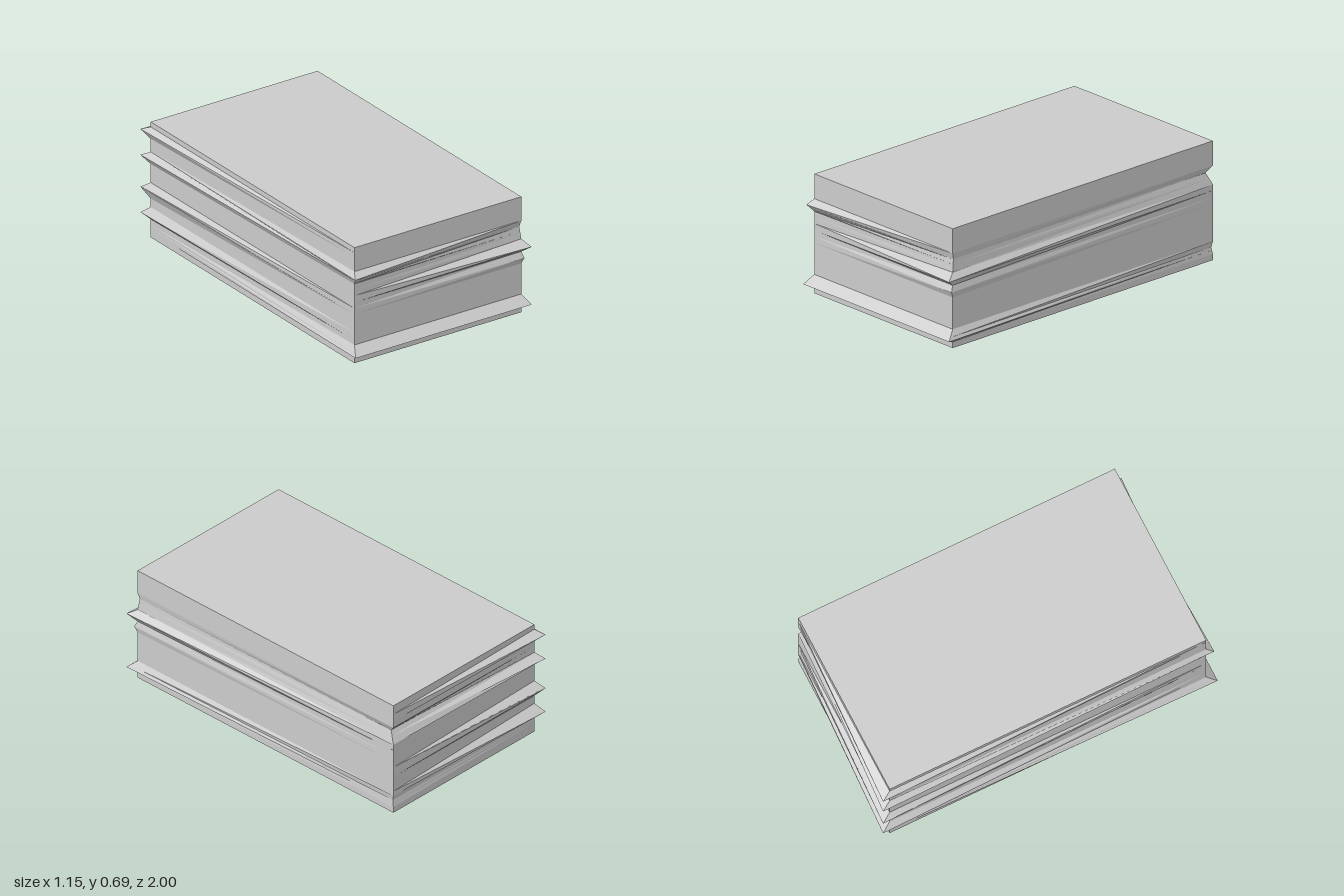
import * as THREE from 'three';

const HEIGHT = 0.685, HALF_X = 0.545, HALF_Z = 0.946;
const RIDGE_X = 0.03, RIDGE_Z = 0.054;

// Edge profile of each corner, as [height, outward offset in ridge depths]
const CORNERS = [
  { x: -1, z: 1, profile: [[0.035, 0], [0.058, 1], [0.108, 0], [0.47, 0], [0.512, 0.7], [0.543, 0]] },
  { x: 1, z: 1, profile: [[0.035, 0], [0.058, 1], [0.108, 0], [0.29, 0], [0.325, 0.3], [0.36, 0], [0.4, 1],
    [0.435, 0], [0.47, -0.1], [0.507, -0.2], [0.543, 0]] },
  { x: 1, z: -1, profile: [[0.035, 0], [0.075, -0.15], [0.108, 0], [0.435, 0], [0.505, -0.65], [0.543, 0]] },
  { x: -1, z: -1, profile: [[0.108, 0], [0.137, 1], [0.18, 0], [0.23, 0], [0.288, 1], [0.325, 0], [0.435, 0],
    [0.477, 1], [0.507, 0], [0.585, 0], [0.63, 1], [0.655, 0]] },
];

// Linear lookup in a profile
function offsetAt(profile, y) {
  for (let i = 0; i + 1 < profile.length; i++) {
    const [y0, d0] = profile[i], [y1, d1] = profile[i + 1];
    if (y >= y0 && y <= y1) return d0 + (d1 - d0) * (y - y0) / (y1 - y0);
  }
  return 0;
}

// Block lofted through four-cornered rings, one at every profile height
function ridgedBlock() {
  const heights = new Set([0, HEIGHT]);
  CORNERS.forEach(c => c.profile.forEach(([y]) => heights.add(y)));
  const levels = [...heights].sort((a, b) => a - b);

  const positions = [], index = [];
  for (const y of levels) {
    for (const c of CORNERS) {
      const d = offsetAt(c.profile, y);
      positions.push(c.x * (HALF_X + d * RIDGE_X), y, c.z * (HALF_Z + d * RIDGE_Z));
    }
  }
  const quad = (a, b, c, d) => index.push(a, b, c, a, c, d);
  for (let l = 0; l + 1 < levels.length; l++) {
    for (let i = 0; i < 4; i++) {
      const j = (i + 1) % 4, lo = l * 4, hi = lo + 4;
      quad(lo + i, lo + j, hi + j, hi + i);
    }
  }
  // Top and bottom
  const t = (levels.length - 1) * 4;
  quad(t, t + 1, t + 2, t + 3);
  quad(3, 2, 1, 0);

  const geometry = new THREE.BufferGeometry();
  geometry.setAttribute('position', new THREE.Float32BufferAttribute(positions, 3));
  geometry.setIndex(index);
  const flat = geometry.toNonIndexed();
  flat.computeVertexNormals();
  return flat;
}

export function createModel() {
  const group = new THREE.Group();
  group.name = 'layeredBlock';
  const material = new THREE.MeshStandardMaterial({ color: 0xcccccc, flatShading: true });
  const block = new THREE.Mesh(ridgedBlock(), material);
  block.name = 'ridgedBlock';
  group.add(block);
  return group;
}
